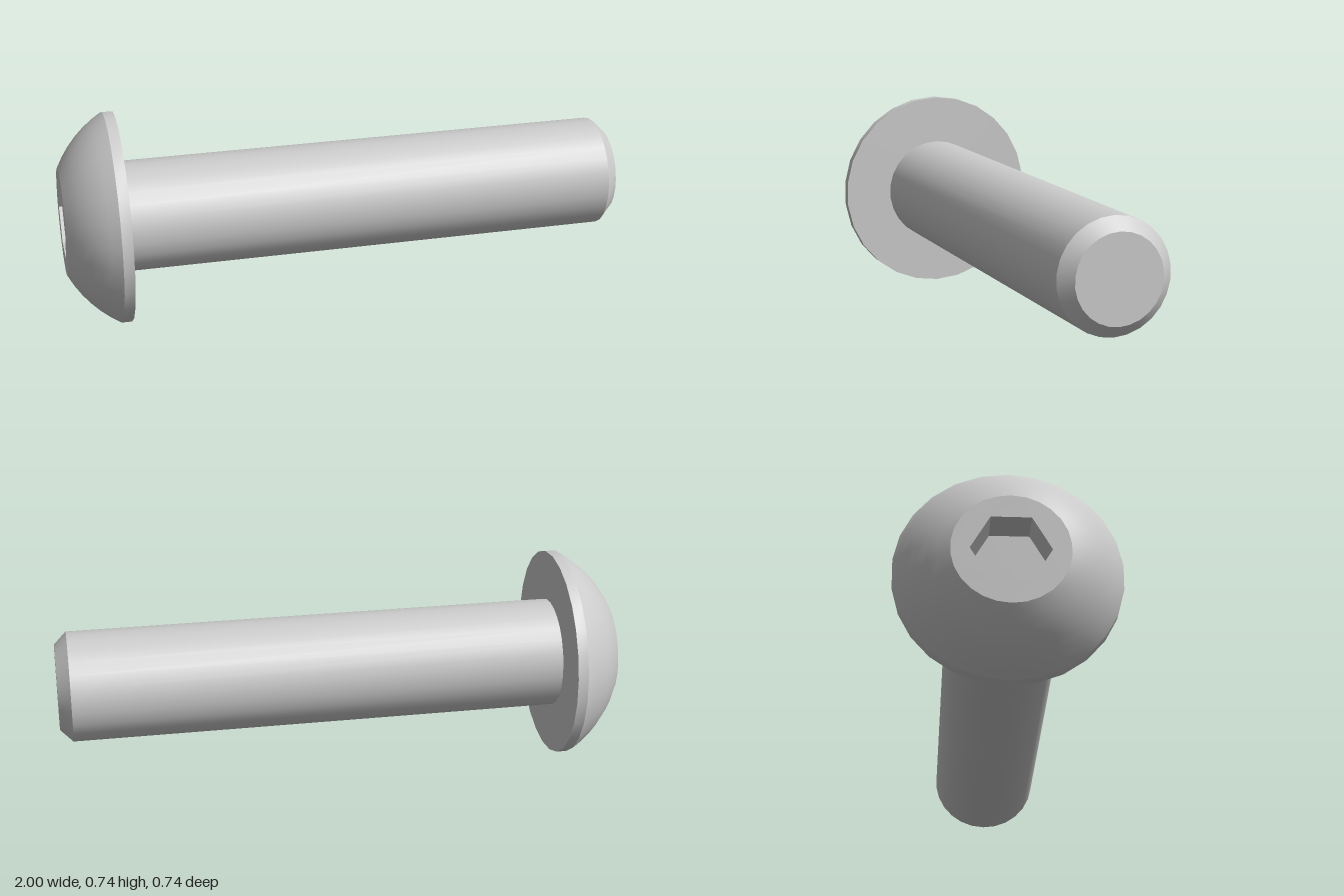
import * as THREE from 'three';
import { toCreasedNormals } from 'three/addons/utils/BufferGeometryUtils.js';

const SIDES = 26;
const HEAD_R = 0.372, FACE_R = 0.19, SHAFT_R = 0.195, TIP_R = 0.151;
const FACE_X = -1, RIM_X = -0.83, UNDER_X = -0.793, CHAMFER_X = 0.956, TIP_X = 1;
const HEX_R = 0.129, HEX_DEPTH = 0.12;

export function createModel() {
  const group = new THREE.Group();
  group.name = 'screw';
  const material = new THREE.MeshStandardMaterial({ color: 0xcccccc });

  const add = (name, geometry) => {
    const mesh = new THREE.Mesh(geometry, material);
    mesh.name = name;
    group.add(mesh);
  };

  // Turns a profile of [radius, x] points around the x axis
  const turn = (profile, sides, start) => {
    const points = profile.map(([r, x]) => new THREE.Vector2(r, x));
    const geometry = new THREE.LatheGeometry(points, sides, start);
    geometry.rotateZ(-Math.PI / 2);
    return toCreasedNormals(geometry, 0.4);
  };

  // Domed head: spherical arc, short straight rim, flat underside
  const centre = (RIM_X ** 2 + HEAD_R ** 2 - FACE_X ** 2 - FACE_R ** 2) / (2 * (RIM_X - FACE_X));
  const radius = Math.hypot(FACE_X - centre, FACE_R);
  const a0 = Math.asin(FACE_R / radius), a1 = Math.asin(HEAD_R / radius);
  const head = [];
  for (let i = 0; i <= 6; i++) {
    const a = a0 + (a1 - a0) * i / 6;
    head.push([radius * Math.sin(a), centre - radius * Math.cos(a)]);
  }
  head.push([HEAD_R, UNDER_X], [SHAFT_R, UNDER_X]);
  add('head', turn(head, SIDES, Math.PI / 2));

  // Flat end of the head with a hexagonal opening
  const ring = (r, n, start) => Array.from({ length: n }, (_, i) => {
    const a = start + i * 2 * Math.PI / n;
    return new THREE.Vector2(r * Math.cos(a), r * Math.sin(a));
  });
  const face = new THREE.Shape(ring(FACE_R, SIDES, Math.PI / 2));
  face.holes.push(new THREE.Path(ring(HEX_R, 6, 0)));
  add('headFace', new THREE.ShapeGeometry(face).rotateY(-Math.PI / 2).translate(FACE_X, 0, 0));

  // Hex socket: floor and inward-facing walls
  const floorX = FACE_X + HEX_DEPTH;
  add('hexSocket', turn([[0, floorX], [HEX_R, floorX], [HEX_R, FACE_X]], 6, 0));

  // Plain shaft with chamfered tip
  add('shaft', turn([[SHAFT_R, UNDER_X], [SHAFT_R, CHAMFER_X], [TIP_R, TIP_X], [0, TIP_X]], SIDES, Math.PI / 2));

  group.position.y = HEAD_R;
  return group;
}
